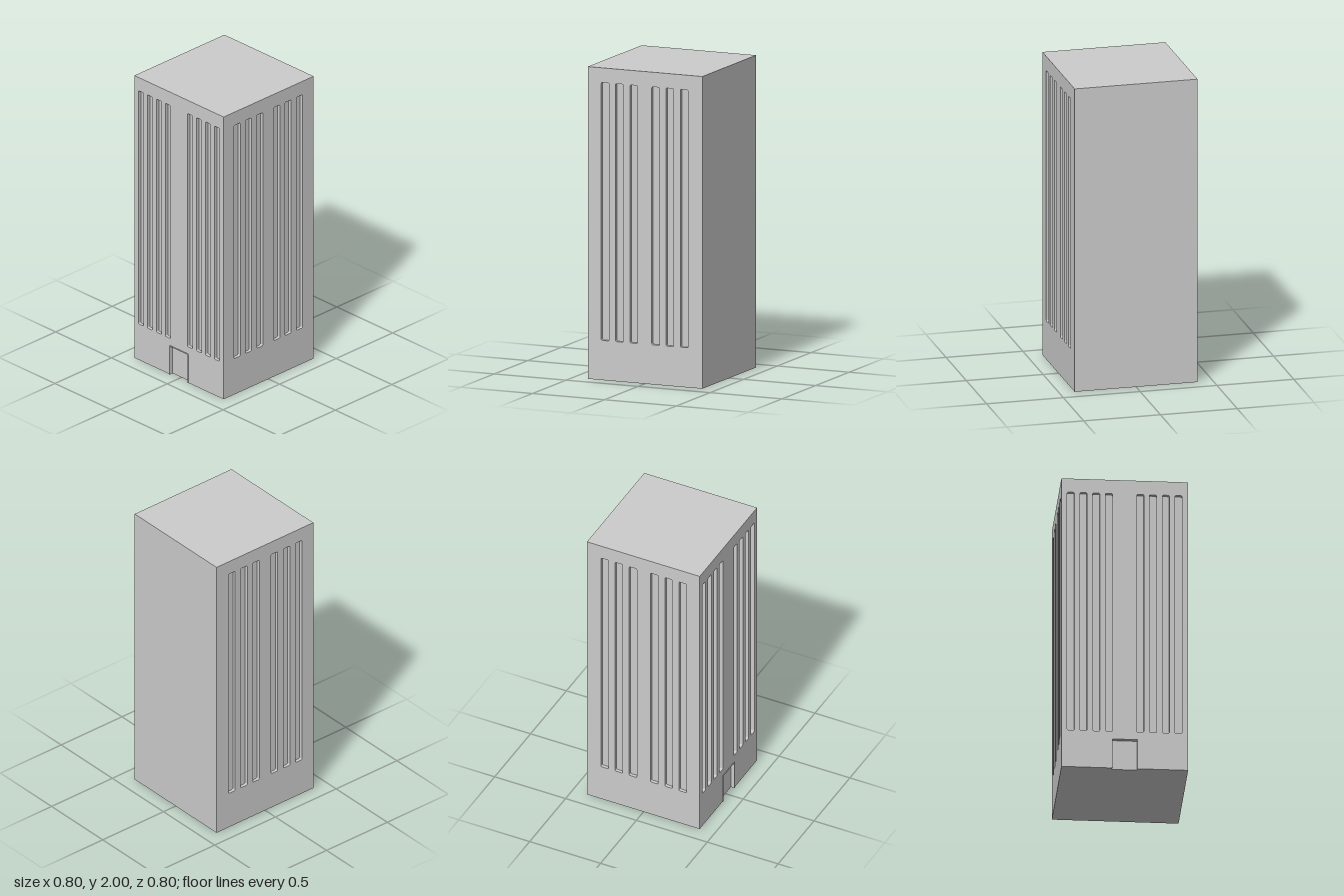
import * as THREE from 'three';

const HALF = 0.4, HEIGHT = 2, FRONT = 0.396, BACK = -0.4;
const DEPTH = 0.022;                       // recess depth of windows and door
const DOOR_W = 0.079, DOOR_H = 0.2, LIP = 0.005;
const SLOT_Y0 = 0.254, SLOT_Y1 = 1.906;

const material = new THREE.MeshStandardMaterial({ color: 0xcccccc, side: THREE.DoubleSide });
const v = (x, y) => new THREE.Vector2(x, y);

function addMesh(parent, name, geometry) {
  const mesh = new THREE.Mesh(geometry, material);
  mesh.name = name;
  parent.add(mesh);
  return mesh;
}

// Counter-clockwise outline of a tall slot with small rounded corners
function slotPoints(cx, width) {
  const r = 0.008, pts = [];
  const x = width / 2 - r;
  const corners = [[x, SLOT_Y1 - r], [-x, SLOT_Y1 - r], [-x, SLOT_Y0 + r], [x, SLOT_Y0 + r]];
  corners.forEach(([px, py], i) => {
    for (let k = 0; k <= 3; k++) {
      const a = (i + k / 3) * Math.PI / 2;
      pts.push(v(cx + px + r * Math.cos(a), py + r * Math.sin(a)));
    }
  });
  return pts;
}

// Inward-facing side walls that run back from an outline
function recessWalls(pts, closed) {
  const pos = [];
  const count = closed ? pts.length : pts.length - 1;
  for (let i = 0; i < count; i++) {
    const a = pts[i], b = pts[(i + 1) % pts.length];
    pos.push(a.x, a.y, 0, b.x, b.y, 0, b.x, b.y, -DEPTH);
    pos.push(a.x, a.y, 0, b.x, b.y, -DEPTH, a.x, a.y, -DEPTH);
  }
  const geometry = new THREE.BufferGeometry();
  geometry.setAttribute('position', new THREE.Float32BufferAttribute(pos, 3));
  geometry.computeVertexNormals();
  return geometry;
}

function addRecess(parent, name, pts, closed) {
  addMesh(parent, name + 'Walls', recessWalls(pts, closed));
  addMesh(parent, name + 'Pane', new THREE.ShapeGeometry(new THREE.Shape(pts))).position.z = -DEPTH;
}

// Wall facing local +z with a row of recessed window strips
function facade(name, outline, centers, width) {
  const group = new THREE.Group();
  group.name = name;
  const shape = new THREE.Shape(outline);
  for (const c of centers) {
    const pts = slotPoints(c, width);
    shape.holes.push(new THREE.Path(pts));
    addRecess(group, 'window', pts, true);
  }
  addMesh(group, 'wall', new THREE.ShapeGeometry(shape));
  return group;
}

const rect = (x0, x1) => [v(x0, 0), v(x1, 0), v(x1, HEIGHT), v(x0, HEIGHT)];

export function createModel() {
  const tower = new THREE.Group();
  tower.name = 'tower';

  // Front wall with eight window strips and a doorway cut from the bottom edge
  const doorway = [v(DOOR_W, 0), v(DOOR_W, DOOR_H), v(-DOOR_W, DOOR_H), v(-DOOR_W, 0)];
  const frontOutline = [v(-HALF, 0), ...[...doorway].reverse(), v(HALF, 0), v(HALF, HEIGHT), v(-HALF, HEIGHT)];
  const frontCenters = [0.099, 0.179, 0.26, 0.34].flatMap(c => [-c - 0.001, c - 0.001]);
  const front = facade('frontWall', frontOutline, frontCenters, 0.045);
  front.position.z = FRONT;
  addRecess(front, 'door', doorway, false);
  tower.add(front);

  // Thin raised frame around the doorway
  const w = DOOR_W + LIP, h = DOOR_H + LIP, c = 0.007;
  const frame = new THREE.Shape([
    v(-w, 0), v(-DOOR_W, 0), v(-DOOR_W, DOOR_H), v(DOOR_W, DOOR_H), v(DOOR_W, 0),
    v(w, 0), v(w, h - c), v(w - c * 0.3, h - c * 0.3), v(w - c, h),
    v(-w + c, h), v(-w + c * 0.3, h - c * 0.3), v(-w, h - c),
  ]);
  addMesh(front, 'doorFrame', new THREE.ExtrudeGeometry(frame, { depth: HALF - FRONT, bevelEnabled: false }));

  // Side walls with six window strips each
  const sideCenters = [-0.274, -0.174, -0.075, 0.076, 0.177, 0.276];
  const left = facade('leftWall', rect(-FRONT, -BACK), sideCenters.map(z => -z), 0.054);
  left.rotation.y = Math.PI / 2;
  left.position.x = HALF;
  const right = facade('rightWall', rect(BACK, FRONT), sideCenters, 0.054);
  right.rotation.y = -Math.PI / 2;
  right.position.x = -HALF;
  tower.add(left, right);

  // Plain back wall
  const back = facade('backWall', rect(-HALF, HALF), [], 0);
  back.rotation.y = Math.PI;
  back.position.z = BACK;
  tower.add(back);

  // Flat roof
  const roof = new THREE.PlaneGeometry(2 * HALF, FRONT - BACK).rotateX(-Math.PI / 2);
  addMesh(tower, 'roof', roof).position.set(0, HEIGHT, (FRONT + BACK) / 2);

  // Floor, notched at the doorway
  const floor = new THREE.Shape([
    v(-HALF, BACK), v(HALF, BACK), v(HALF, FRONT), v(DOOR_W, FRONT),
    v(DOOR_W, FRONT - DEPTH), v(-DOOR_W, FRONT - DEPTH), v(-DOOR_W, FRONT), v(-HALF, FRONT),
  ]);
  addMesh(tower, 'floor', new THREE.ShapeGeometry(floor).rotateX(Math.PI / 2));

  return tower;
}
